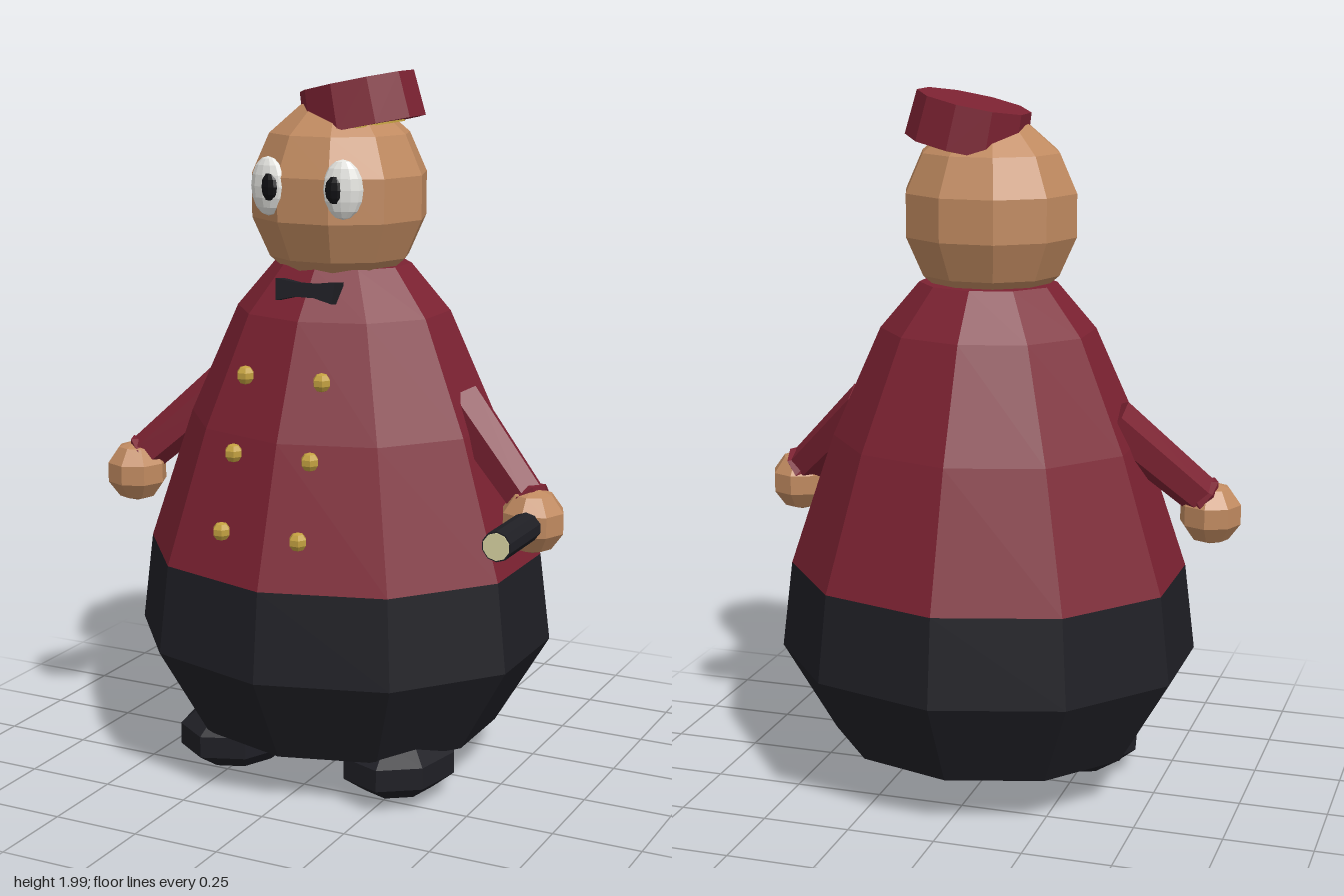
import * as THREE from 'three';

const mat = (color) => new THREE.MeshStandardMaterial({ color, flatShading: true });

export function createModel() {
  const root = new THREE.Group();
  const red = mat(0x7c2232), dark = mat(0x1f1f25), skin = mat(0xc08a60);
  const gold = mat(0xc2a040), white = mat(0xe4e4e0), black = mat(0x111114), cream = mat(0xdcd6a4);

  const add = (name, geometry, material, position = [0, 0, 0], scale = [1, 1, 1]) => {
    const mesh = new THREE.Mesh(geometry, material);
    mesh.name = name;
    mesh.position.set(...position);
    mesh.scale.set(...scale);
    root.add(mesh);
    return mesh;
  };
  const lathe = (points) => new THREE.LatheGeometry(points.map((p) => new THREE.Vector2(...p)), 10);

  // Pear-shaped body: ten sides, a little wider than deep
  add('trousers', lathe([[0, 0.145], [0.405, 0.145], [0.543, 0.4], [0.515, 0.65]]), dark, [0, 0, 0], [1.11, 1, 1]);
  add('coat', lathe([[0.515, 0.65], [0.4, 1.03], [0.275, 1.34], [0.175, 1.47], [0, 1.47]]), red, [0, 0, 0], [1.11, 1, 1]);

  // Head
  add('head', new THREE.SphereGeometry(1, 10, 7), skin, [0, 1.66, 0.022], [0.254, 0.27, 0.24]);

  // Tilted cap with a gold band peeking out below
  const cap = add('cap', new THREE.CylinderGeometry(0.16, 0.17, 0.125, 10), red, [0.053, 1.905, 0]);
  cap.rotation.z = 0.21;
  const band = add('capBand', new THREE.CylinderGeometry(0.165, 0.165, 0.025, 10), gold, [0.055, 1.853, 0], [0.68, 1, 1]);
  band.rotation.z = 0.17;

  // Bow tie
  const bow = new THREE.Shape();
  [[-0.09, 0.03], [-0.03, 0.022], [0.03, 0.022], [0.09, 0.03], [0.085, -0.03], [0.03, -0.017], [-0.03, -0.017], [-0.085, -0.03]]
    .forEach(([x, y], i) => (i ? bow.lineTo(x, y) : bow.moveTo(x, y)));
  const tie = add('bowTie', new THREE.ExtrudeGeometry(bow, { depth: 0.055, bevelEnabled: false }), dark, [0, 1.41, 0.183]);
  tie.rotation.x = -0.15;

  // Everything that comes in pairs
  for (const s of [1, -1]) {
    const side = s > 0 ? 'left' : 'right';

    const eye = add(side + 'Eye', new THREE.SphereGeometry(1, 12, 8), white, [s * 0.112, 1.695, 0.228], [0.056, 0.08, 0.028]);
    eye.rotation.y = s * 0.2;
    const pupil = add(side + 'Pupil', new THREE.SphereGeometry(1, 10, 6), black, [s * 0.1, 1.695, 0.248], [0.029, 0.04, 0.014]);
    pupil.rotation.y = s * 0.2;

    for (let i = 0; i < 3; i++) {
      add(side + 'Button' + (i + 1), new THREE.SphereGeometry(0.026, 6, 5), gold, [s * 0.115, 1.2 - 0.2 * i, 0.36 + 0.07 * i]);
    }

    // Sleeve running from inside the coat down to the hand, with a cuff
    const from = new THREE.Vector3(s * 0.36, 1.1, -0.005);
    const to = new THREE.Vector3(s * 0.6, 0.875, 0.095);
    const dir = to.clone().sub(from);
    const turn = new THREE.Quaternion().setFromUnitVectors(new THREE.Vector3(0, 1, 0), dir.clone().normalize());
    const sleeve = add(side + 'Sleeve', new THREE.CylinderGeometry(0.058, 0.07, dir.length(), 6), red,
      from.clone().add(to).multiplyScalar(0.5).toArray());
    sleeve.quaternion.copy(turn);
    const cuff = add(side + 'Cuff', new THREE.TorusGeometry(0.052, 0.015, 4, 8).rotateX(Math.PI / 2), red, to.toArray());
    cuff.quaternion.copy(turn);

    add(side + 'Hand', new THREE.SphereGeometry(0.091, 8, 5), skin, [s * 0.622, 0.825, 0.112]);

    const foot = add(side + 'Foot', new THREE.SphereGeometry(1, 8, 5), dark, [s * 0.252, 0.105, 0.155], [0.17, 0.1, 0.215]);
    foot.rotation.y = s * 0.12;
  }

  // Torch held in the left hand, with a pale lens
  add('torch', new THREE.CylinderGeometry(0.041, 0.041, 0.28, 10).rotateX(Math.PI / 2), dark, [0.63, 0.825, 0.25]);
  add('torchLens', new THREE.CylinderGeometry(0.037, 0.037, 0.01, 10).rotateX(Math.PI / 2), cream, [0.63, 0.825, 0.388]);

  return root;
}
